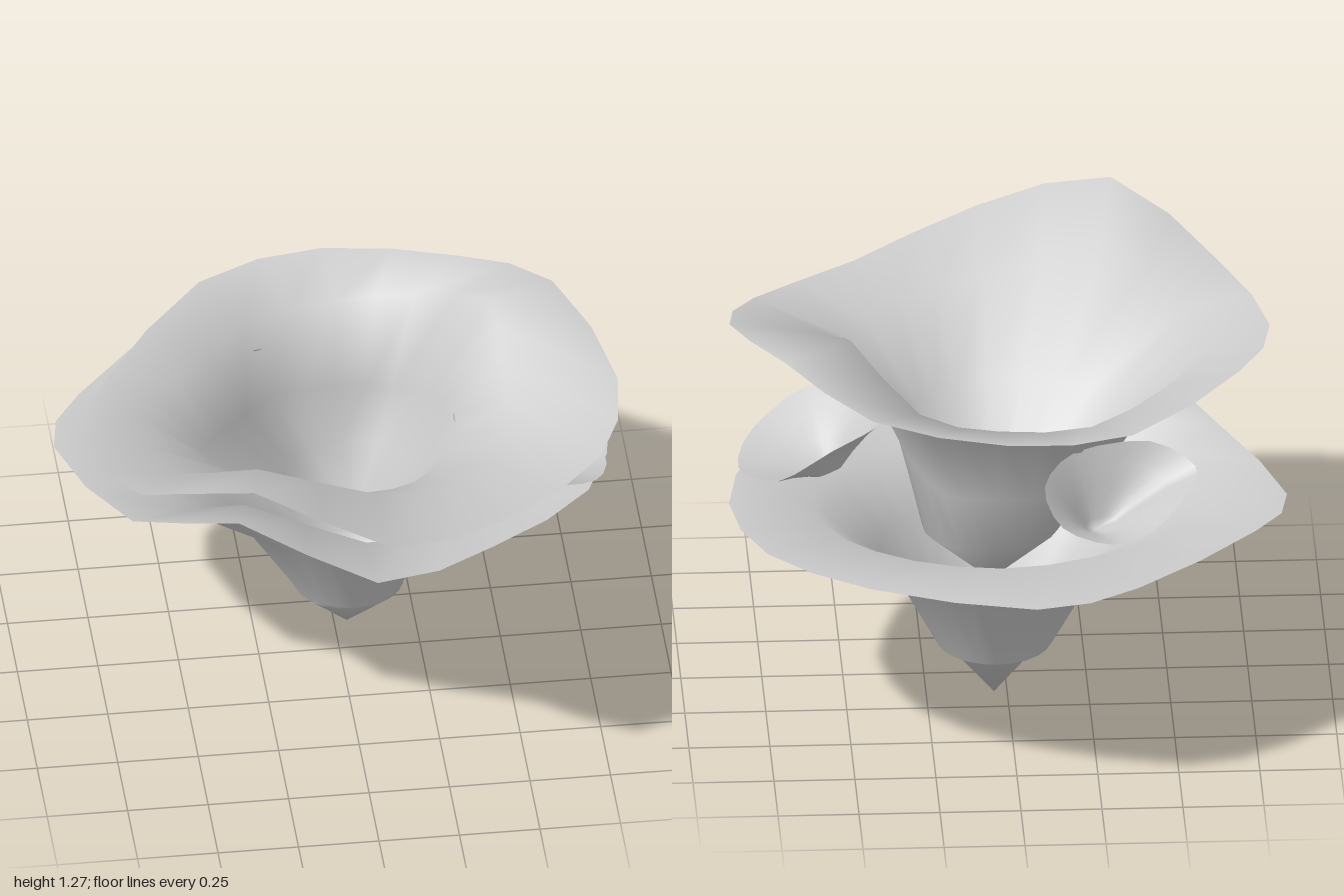
import * as THREE from 'three';

const V = (p) => new THREE.Vector3(...p);
const SEGMENTS = 24;

// Sample a closed curve through a ring of control points.
function ring(points) {
  const curve = new THREE.CatmullRomCurve3(points.map(V), true, 'catmullrom', 0.45);
  return Array.from({ length: SEGMENTS }, (_, i) => curve.getPoint(i / SEGMENTS));
}

// Horizontal ellipse, running in the same direction as the hand-placed rings.
function ellipse(x, y, z, rx, rz) {
  return Array.from({ length: SEGMENTS }, (_, i) => {
    const a = (i / SEGMENTS) * Math.PI * 2;
    return new THREE.Vector3(x + rx * Math.cos(a), y, z + rz * Math.sin(a));
  });
}

// Thin funnel skin: rings from the rim inwards, closed by a pointed tip.
function funnel(name, rings, tip, material) {
  const points = [...rings.flat(), V(tip)];
  const index = [];
  for (let r = 0; r < rings.length; r++) {
    for (let i = 0; i < SEGMENTS; i++) {
      const j = (i + 1) % SEGMENTS;
      const a = r * SEGMENTS + i, b = r * SEGMENTS + j;
      if (r === rings.length - 1) {
        index.push(a, b, points.length - 1);
      } else {
        index.push(a, b, a + SEGMENTS, b, b + SEGMENTS, a + SEGMENTS);
      }
    }
  }
  const geometry = new THREE.BufferGeometry().setFromPoints(points);
  geometry.setIndex(index);
  geometry.computeVertexNormals();
  const mesh = new THREE.Mesh(geometry, material);
  mesh.name = name;
  return mesh;
}

// Small side cup: a broad lip around a bowl that narrows to a tip.
function cup(name, rimPoints, tip, material) {
  const rim = ring(rimPoints), low = V(tip);
  const step = (inward, drop) => rim.map((p) => new THREE.Vector3(
    THREE.MathUtils.lerp(p.x, low.x, inward),
    THREE.MathUtils.lerp(p.y, low.y, drop),
    THREE.MathUtils.lerp(p.z, low.z, inward)));
  return funnel(name, [rim, step(0.3, 0.25), step(0.6, 0.6), step(0.8, 0.88)], tip, material);
}

export function createModel() {
  const group = new THREE.Group();
  const material = new THREE.MeshStandardMaterial({ color: 0xcccccc, side: THREE.DoubleSide });

  // Lower cap and its stem, with a narrower pointed foot
  group.add(funnel('lowerCap', [
    ring([
      [0.86, 0.68, -0.18], [0.75, 0.69, 0.2], [0.43, 0.69, 0.45], [0.04, 0.73, 0.65],
      [-0.37, 0.87, 0.48], [-0.67, 0.72, 0.23], [-0.86, 0.69, -0.22], [-0.75, 0.69, -0.48],
      [-0.37, 0.69, -0.87], [-0.05, 0.69, -1.01], [0.45, 0.69, -0.84], [0.76, 0.69, -0.57],
    ]),
    ring([
      [0.61, 0.67, -0.18], [0.51, 0.65, 0.1], [0.3, 0.65, 0.28], [0.04, 0.67, 0.36],
      [-0.33, 0.79, 0.28], [-0.52, 0.68, 0.13], [-0.6, 0.69, -0.15], [-0.5, 0.67, -0.4],
      [-0.24, 0.68, -0.62], [0.04, 0.69, -0.71], [0.31, 0.68, -0.62], [0.52, 0.67, -0.43],
    ]),
    ellipse(0.035, 0.49, -0.12, 0.355, 0.31),
    ellipse(0.04, 0.19, -0.15, 0.18, 0.2),
    ellipse(0.04, 0.185, -0.1, 0.17, 0.15),
  ], [0.04, 0, -0.14], material));

  // Upper cap, with its stem nested in the lower one
  group.add(funnel('upperCap', [
    ring([
      [0.84, 1.11, 0.2], [0.75, 1.05, 0.51], [0.43, 1.04, 0.78], [0.04, 1.12, 0.99],
      [-0.37, 1.27, 0.86], [-0.69, 1.1, 0.6], [-0.83, 1.05, 0.24], [-0.72, 1.04, -0.07],
      [-0.37, 1.05, -0.53], [0.02, 1.07, -0.63], [0.43, 1.1, -0.5], [0.69, 1.18, -0.23],
    ]),
    ring([
      [0.49, 1.11, 0.06], [0.5, 1.01, 0.33], [0.3, 1.02, 0.55], [0.04, 1.05, 0.62],
      [-0.33, 1.18, 0.62], [-0.57, 1.03, 0.41], [-0.63, 1.03, 0.12], [-0.49, 1.0, -0.09],
      [-0.25, 1.0, -0.36], [0.04, 1.02, -0.42], [0.28, 1.06, -0.37], [0.48, 1.2, -0.13],
    ]),
    ring([
      [0.34, 0.86, 0], [0.3, 0.83, 0.15], [0.2, 0.83, 0.28], [0.04, 0.84, 0.33],
      [-0.18, 0.84, 0.29], [-0.36, 0.85, 0.2], [-0.44, 0.86, 0.08], [-0.34, 0.8, -0.1],
      [-0.17, 0.75, -0.32], [0.04, 0.75, -0.34], [0.2, 0.75, -0.31], [0.31, 0.82, -0.16],
    ]),
    ellipse(0.05, 0.56, -0.12, 0.21, 0.2),
  ], [0.05, 0.38, -0.13], material));

  // Small cups growing from the stem between the caps
  group.add(cup('leftCup', [
    [0.82, 0.7, 0.03], [0.77, 0.74, 0.22], [0.59, 0.83, 0.34], [0.43, 0.85, 0.22],
    [0.35, 0.88, 0.04], [0.4, 0.87, -0.06], [0.54, 0.83, -0.14], [0.71, 0.75, -0.18],
  ], [0.54, 0.67, 0.04], material));
  group.add(cup('rearCup', [
    [-0.57, 0.86, -0.36], [-0.54, 0.83, -0.49], [-0.43, 0.76, -0.61], [-0.3, 0.73, -0.64],
    [-0.15, 0.77, -0.6], [-0.1, 0.85, -0.47], [-0.2, 0.91, -0.35], [-0.43, 0.92, -0.3],
  ], [-0.26, 0.67, -0.4], material));

  return group;
}
